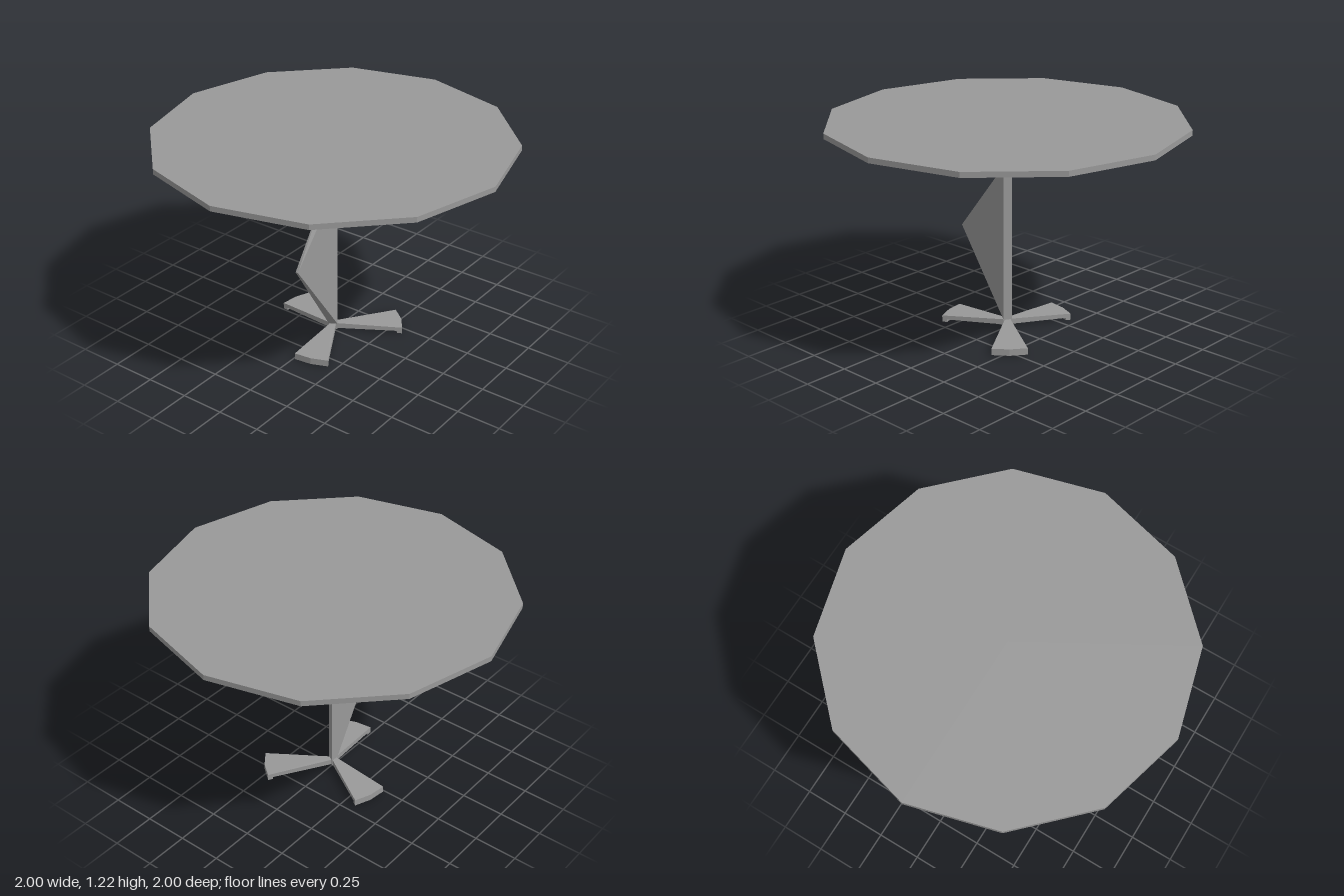
import * as THREE from 'three';
import { ConvexGeometry } from 'three/addons/geometries/ConvexGeometry.js';

const grey = new THREE.MeshStandardMaterial({ color: 0x999999 });
grey.name = 'grey';

const P = (x, y, z) => new THREE.Vector3(x, y, z);
const rad = THREE.MathUtils.degToRad;
// point at an angle measured from +x towards +z
const polar = (r, deg, y, offset = 0) =>
  P(offset + r * Math.cos(rad(deg)), y, offset + r * Math.sin(rad(deg)));

function addPart(parent, name, geometry) {
  const mesh = new THREE.Mesh(geometry, grey);
  mesh.name = name;
  parent.add(mesh);
}

export function createModel() {
  const table = new THREE.Group();
  table.name = 'pedestalTable';

  // twelve-sided top with a shallow cone underneath
  const profile = [[0, 0.955], [1, 1.19], [1, 1.22], [0, 1.22]].map(([r, y]) => new THREE.Vector2(r, y));
  const top = new THREE.LatheGeometry(profile, 12).toNonIndexed();
  top.computeVertexNormals();
  addPart(table, 'tableTop', top);

  // three-sided post
  const hubAngles = [90, 210, 330];
  const post = [0.015, 0.97].flatMap((y) => hubAngles.map((a) => polar(0.029, a, y)));
  addPart(table, 'post', new ConvexGeometry(post));

  // tapering fin growing from one face of the post
  const fin = [0.05, 0.96].flatMap((y) => [polar(0.029, 90, y), polar(0.029, 210, y)]);
  fin.push(P(-0.34, 0.54, 0.014), P(-0.34, 0.54, -0.002));
  addPart(table, 'fin', new ConvexGeometry(fin));

  // three wedge feet, each with a thin pad under its outer end
  for (let i = 0; i < 3; i++) {
    const start = 30 + i * 120;
    const foot = new THREE.Group();
    foot.name = 'foot' + (i + 1);
    const tips = [0, 15, 30].map((a) => start + a);

    const arm = [start - 60, start + 60].flatMap((a) => [polar(0.018, a, 0.05), polar(0.018, a, 0.018)]);
    tips.forEach((a) => arm.push(polar(0.383, a, 0.038, 0.01), polar(0.383, a, 0.015, 0.01)));
    addPart(foot, 'footArm', new ConvexGeometry(arm));

    const pad = tips.flatMap((a) => [0, 0.02].flatMap((y) =>
      [polar(0.383, a, y, 0.01), polar(0.355, a, y, 0.01)]));
    addPart(foot, 'footPad', new ConvexGeometry(pad));
    table.add(foot);
  }
  return table;
}
